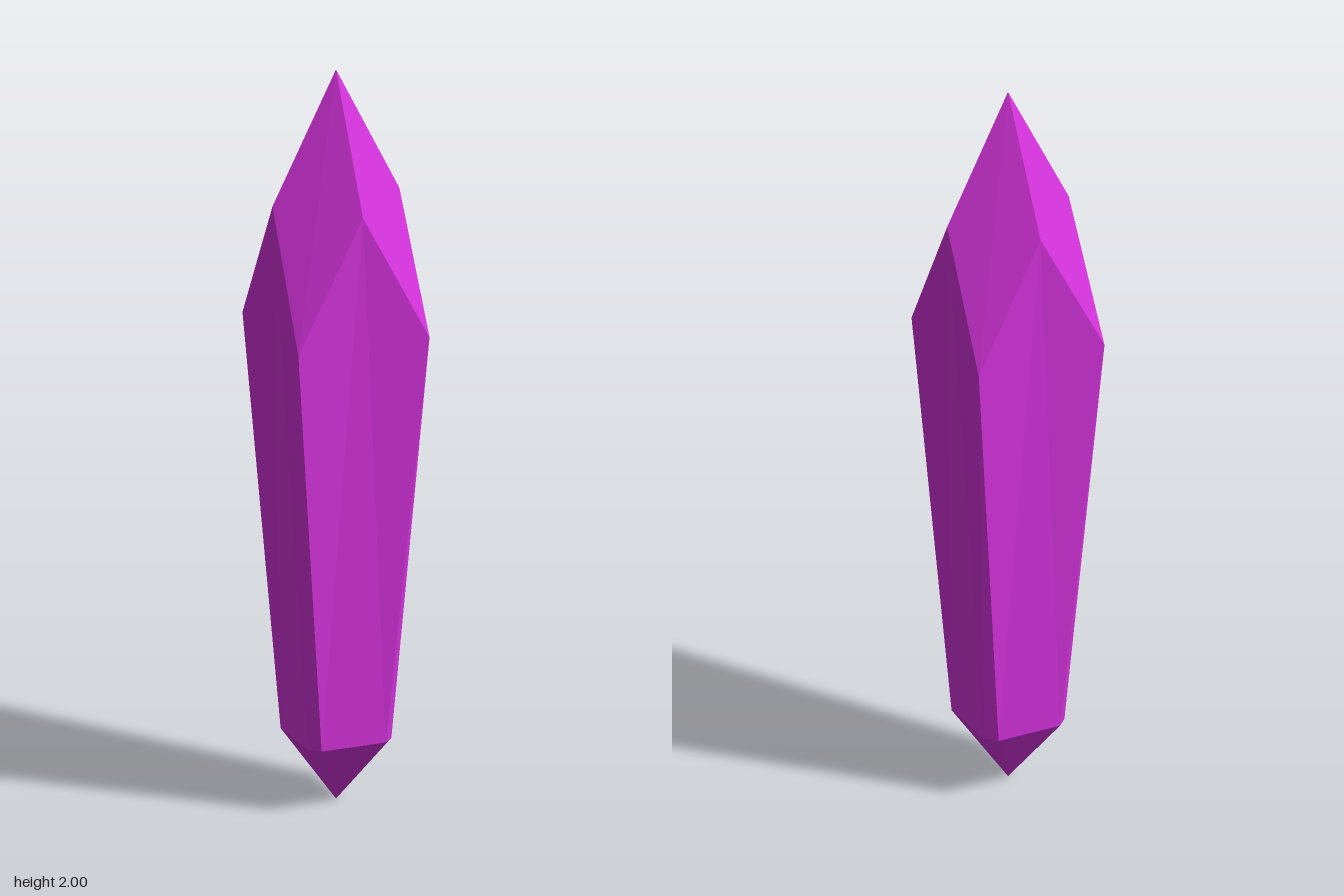
import * as THREE from 'three';

// Four-sided crystal: one side is described facing +z and turned four times.
export function createModel() {
  const group = new THREE.Group();
  group.name = 'crystal';
  const material = new THREE.MeshStandardMaterial({ color: 0xd633de, flatShading: true });

  const apex = [0, 2, 0], tip = [0, 0, 0];
  const peak = [0, 1.65, 0.178];
  const shoulderL = [-0.184, 1.3, 0.184], shoulderR = [0.184, 1.3, 0.184];
  const footL = [-0.09, 0.18, 0.117], footR = [0.09, 0.18, 0.117];
  const turn = ([x, y, z]) => [z, y, -x];
  const nextPeak = turn(peak), nextFoot = turn(footL);

  // Convex outlines, counter-clockwise from outside
  const parts = {
    crown: [[apex, peak, shoulderR, nextPeak]],
    shaft: [
      [peak, shoulderL, footL, footR, shoulderR], // broad face
      [shoulderR, footR, nextFoot],               // narrow corner bevel
    ],
    base: [[footL, tip, footR], [footR, tip, nextFoot]],
  };

  for (const [name, outlines] of Object.entries(parts)) {
    const positions = [];
    for (let outline of outlines) {
      for (let side = 0; side < 4; side++) {
        for (let i = 1; i < outline.length - 1; i++) {
          // Fan each outline into triangles
          positions.push(...outline[0], ...outline[i], ...outline[i + 1]);
        }
        outline = outline.map(turn);
      }
    }
    const geometry = new THREE.BufferGeometry();
    geometry.setAttribute('position', new THREE.Float32BufferAttribute(positions, 3));
    geometry.computeVertexNormals();
    const mesh = new THREE.Mesh(geometry, material);
    mesh.name = name;
    group.add(mesh);
  }
  return group;
}
